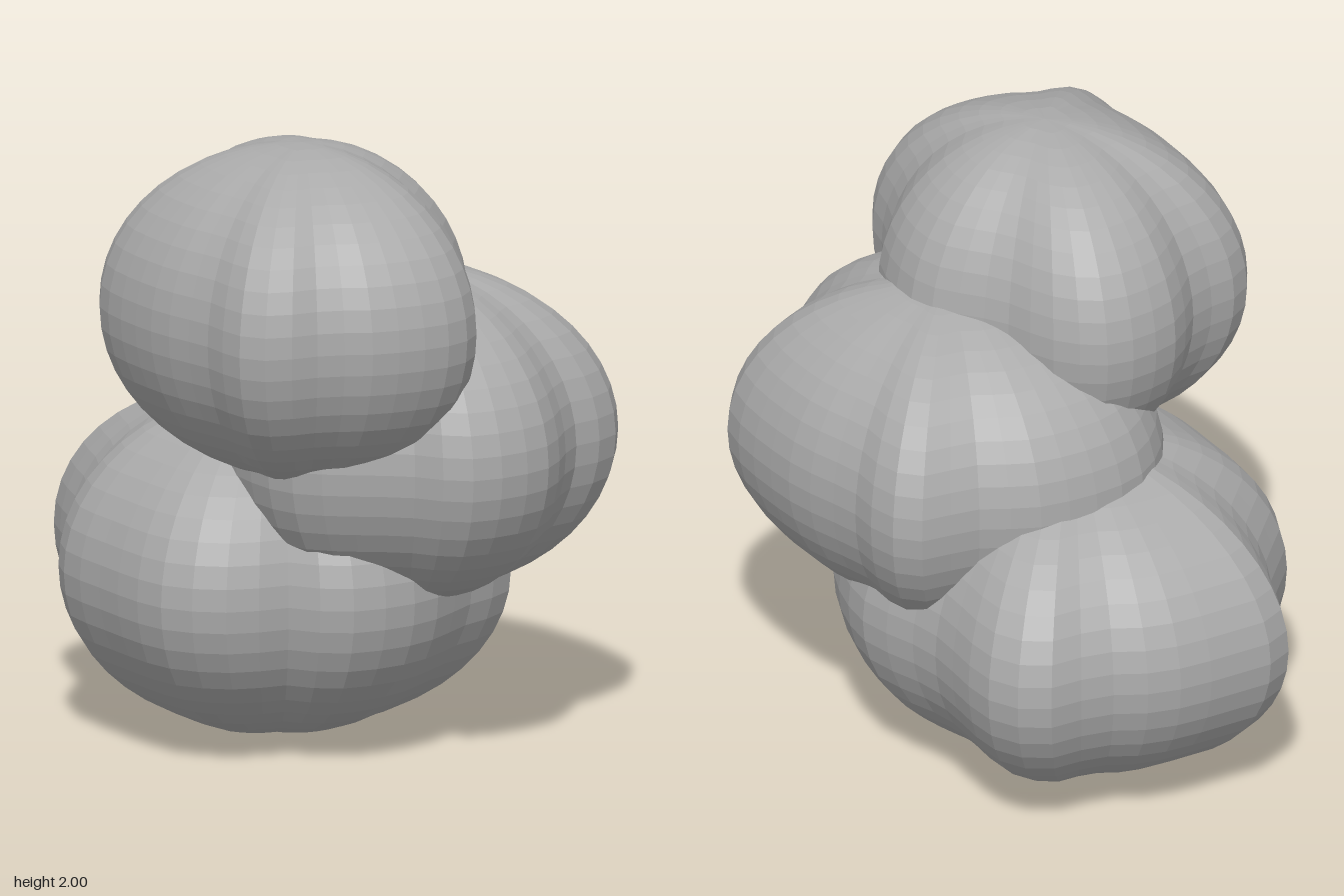
import * as THREE from 'three';

const SEGMENTS = 44, ROWS = 24;

// Lumpy boulder: a smooth closed plan outline swept up and down an elliptical profile.
// Outline is [x, z] pairs running left (-x), front (+z), right (+x), back (-z).
function boulder(name, material, [px, py, pz], height, outline) {
  const curve = new THREE.CatmullRomCurve3(
    outline.map(([x, z]) => new THREE.Vector3(x - px, 0, z - pz)), true);
  const ring = curve.getSpacedPoints(SEGMENTS);
  const geometry = new THREE.SphereGeometry(1, SEGMENTS, ROWS);
  const pos = geometry.attributes.position;
  for (let row = 0; row <= ROWS; row++) {
    const angle = (row / ROWS) * Math.PI;
    const spread = Math.sin(angle);
    for (let i = 0; i <= SEGMENTS; i++) {
      const p = ring[i % SEGMENTS];
      pos.setXYZ(row * (SEGMENTS + 1) + i,
        px + p.x * spread, py + height * Math.cos(angle), pz + p.z * spread);
    }
  }
  geometry.computeVertexNormals();
  const mesh = new THREE.Mesh(geometry, material);
  mesh.name = name;
  return mesh;
}

export function createModel() {
  const stone = new THREE.MeshStandardMaterial({ color: 0xaaaaaa, flatShading: true });
  stone.name = 'stoneGrey';
  const group = new THREE.Group();
  group.name = 'boulderStack';

  // Widest boulder, resting on the ground toward the back
  group.add(boulder('bottomBoulder', stone, [-0.07, 0.55, -0.15], 0.55, [
    [-0.755, -0.1], [-0.72, 0.25], [-0.53, 0.42], [-0.42, 0.42], [-0.28, 0.58], [0, 0.61],
    [0.28, 0.48], [0.46, 0.41], [0.61, 0.03], [0.54, -0.28], [0.54, -0.65], [0.44, -0.78],
    [0.23, -0.805], [0.05, -0.89], [-0.29, -0.91], [-0.4, -0.9], [-0.54, -0.59], [-0.73, -0.37],
  ]));

  // Boulder leaning out to the model's left
  group.add(boulder('middleBoulder', stone, [0.17, 1.01, 0.2], 0.54, [
    [-0.45, 0.22], [-0.43, 0.5], [-0.14, 0.76], [-0.02, 0.91], [0.27, 0.91], [0.5, 0.72],
    [0.61, 0.7], [0.74, 0.61], [0.77, 0.2], [0.7, -0.1], [0.7, -0.23], [0.64, -0.345],
    [0.43, -0.385], [0.24, -0.48], [-0.13, -0.47], [-0.35, -0.25], [-0.38, -0.05],
  ]));

  // Boulder perched on top, to the model's right
  group.add(boulder('topBoulder', stone, [-0.22, 1.46, 0.25], 0.54, [
    [-0.78, 0.24], [-0.735, 0.51], [-0.735, 0.66], [-0.67, 0.756], [-0.48, 0.8], [-0.32, 0.88],
    [-0.05, 0.9], [0.085, 0.8], [0.15, 0.6], [0.28, 0.44], [0.31, 0.16], [0.15, -0.08],
    [0.07, -0.27], [-0.07, -0.39], [-0.32, -0.37], [-0.47, -0.25], [-0.66, -0.215], [-0.75, -0.1],
  ]));

  return group;
}
